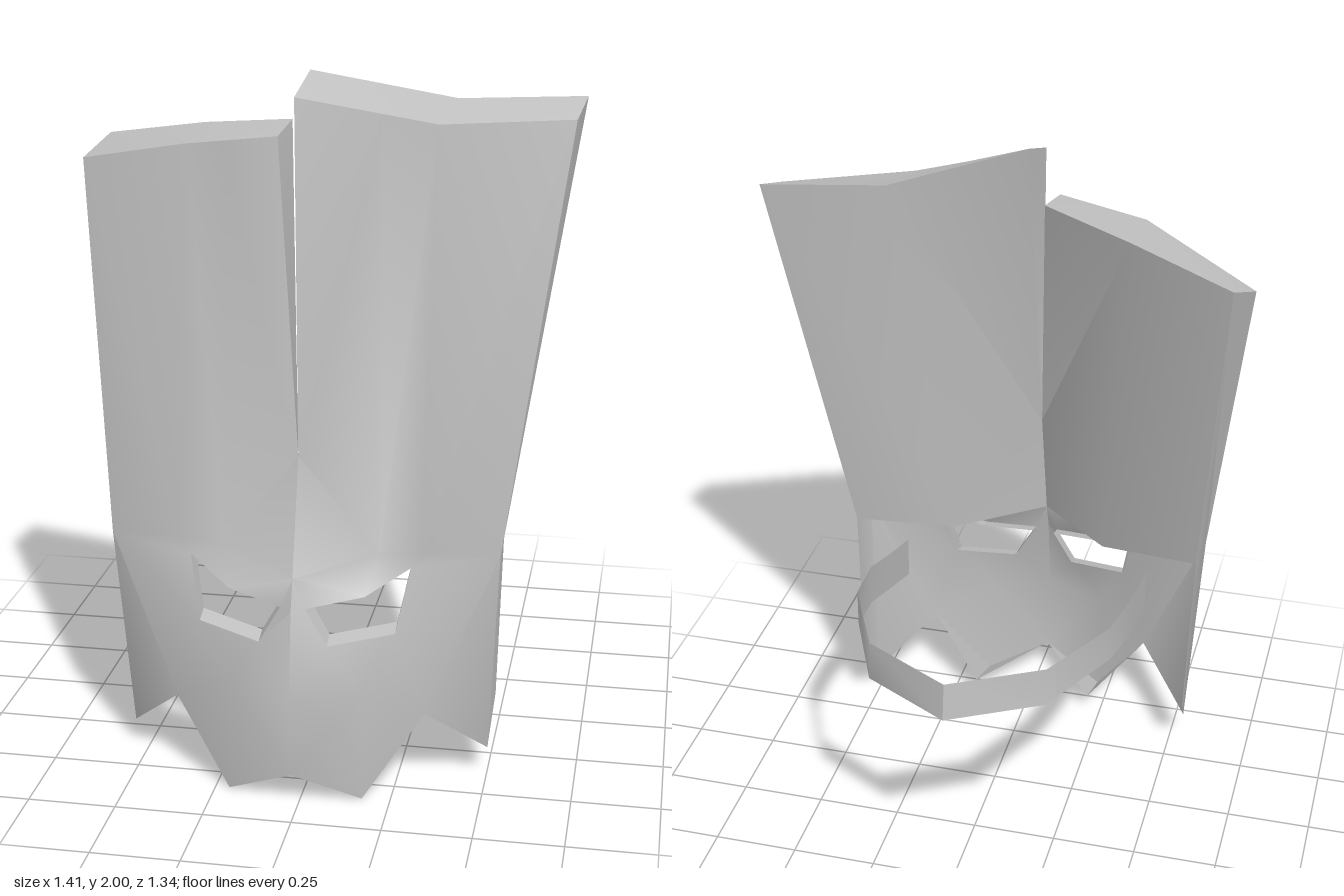
import * as THREE from 'three';
import { toCreasedNormals } from 'three/addons/utils/BufferGeometryUtils.js';

const CX = -0.02; // centre line of the face

// Points shared by both halves: offset from the centre line, height, depth
const FACE = {
  chin: [0, 0.09, 0.65], nose: [0, 0.33, 0.67], bridge: [0, 0.575, 0.632], brow: [0, 0.66, 0.602],
  tip: [0.19, 0, 0.585], tipBack: [0.19, 0.065, 0.41], notch: [0.355, 0.24, 0.51], cheek: [0.19, 0.33, 0.605],
  jawTip: [0.52, 0.08, 0.37], jawBack: [0.53, 0.2, 0.26],
  side: [0.55, 0.7, 0.44], sideBack: [0.545, 0.72, 0.28], midBack: [0.24, 0.7, 0.34],
  eyeIn: [0.035, 0.575, 0.605], eyeLowIn: [0.095, 0.47, 0.61], eyeLowOut: [0.275, 0.495, 0.55],
  eyeOut: [0.31, 0.67, 0.495], lid: [0.19, 0.6, 0.555],
  valley: [0.22, 0.7, 0.475], temple: [0.34, 0.72, 0.5],
};

// Bottom of the split between the ears, and the top corners of each ear
const SLOT = [-0.01, 1.0, 0.56];
const LEFT_TOP = {
  topIn: [-0.035, 1.95, 0.46], topMid: [0.335, 1.875, 0.375], topOut: [0.685, 1.87, 0.21],
  backIn: [-0.02, 2.0, 0.31], backMid: [0.36, 1.91, 0.16], backOut: [0.705, 1.912, 0.075],
};
const RIGHT_TOP = {
  topIn: [-0.092, 1.835, 0.4], topMid: [-0.355, 1.8, 0.36], topOut: [-0.705, 1.71, 0.15],
  backIn: [-0.08, 1.857, 0.255], backMid: [-0.35, 1.82, 0.14], backOut: [-0.66, 1.76, 0.018],
};

// Each panel is a fan: its hub, then its rim counter-clockwise on the left half
const PANELS = [
  // cheek, nose, jaw and chin
  'cheek chin tip notch eyeLowOut eyeLowIn nose chin',
  'eyeLowIn eyeIn bridge nose',
  'side eyeOut eyeLowOut notch jawTip sideBack',
  'jawTip jawBack sideBack',
  'tipBack notch tip chin',
  // forehead
  'brow bridge eyeIn lid valley',
  'eyeOut side temple valley lid',
  // ear front and outer flank
  'slot brow valley topValley topIn',
  'temple side topOut topMid valley',
  'valley topMid topValley',
  'side sideBack backOut topOut',
  // ear top
  'topValley topMid backMid backIn topIn',
  'topMid topOut backOut backMid',
  // split wall, ear back and underside
  'slot topIn backIn backMid midBack brow',
  'midBack backMid backOut sideBack temple valley brow',
  'temple sideBack side',
];
const EYE = ['eyeIn', 'eyeLowIn', 'eyeLowOut', 'eyeOut', 'lid'];

// Resolve the named points of one half
function halfPoints(s, top) {
  const p = { slot: SLOT, ...top };
  for (const [name, [u, y, z]] of Object.entries(FACE)) p[name] = [CX + s * u, y, z];
  p.topValley = top.topIn.map((v, i) => v + (top.topMid[i] - v) * 0.6);
  return p;
}

// Add a fan of triangles, turned over on the mirrored half
function addFan(out, [hub, ...rim], s) {
  for (let i = 0; i < rim.length - 1; i++) {
    const [b, c] = s > 0 ? [rim[i], rim[i + 1]] : [rim[i + 1], rim[i]];
    out.push(...hub, ...b, ...c);
  }
}

function geometryFrom(positions) {
  const g = new THREE.BufferGeometry();
  g.setAttribute('position', new THREE.Float32BufferAttribute(positions, 3));
  g.computeVertexNormals();
  return g;
}

// Short wall running back from the edge of the eye opening
function eyeRimGeometry(p, s) {
  const rim = [];
  const inner = ([x, y, z]) => [x, y + 0.015, z - 0.05];
  EYE.forEach((name, i) => {
    const a = p[name], b = p[EYE[(i + 1) % EYE.length]];
    addFan(rim, [a, b, inner(b), inner(a)], s);
  });
  return geometryFrom(rim);
}

// Band behind the head: half outline as [offset, depth, bottom, top]
function strapGeometry() {
  const half = [
    [0.385, 0.29, 0.53, 0.66], [0.39, 0.12, 0.585, 0.71], [0.395, -0.06, 0.645, 0.77],
    [0.378, -0.245, 0.69, 0.8], [0.255, -0.53, 0.71, 0.82],
  ];
  const centre = CX - 0.005;
  const path = [
    ...half.map(([u, z, b, t]) => [centre - u, z, b, t]),
    [centre, -0.67, 0.71, 0.82],
    ...half.slice().reverse().map(([u, z, b, t]) => [centre + u, z, b, t]),
  ];
  // The top edge leans slightly inwards at the back of the head
  const bottom = ([x, z, b]) => [x, b, z];
  const top = ([x, z, , t]) => [x, t, z < -0.5 ? z + 0.015 : z];
  const pos = [];
  for (let i = 0; i < path.length - 1; i++) {
    const a = path[i], b = path[i + 1];
    addFan(pos, [bottom(a), top(a), top(b), bottom(b)], 1);
  }
  return toCreasedNormals(geometryFrom(pos), 0.8);
}

export function createModel() {
  const grey = new THREE.MeshStandardMaterial({ color: 0xbfbfbf, side: THREE.DoubleSide });
  grey.name = 'grey';
  const group = new THREE.Group();
  group.name = 'mask';
  const add = (name, geometry) => {
    const mesh = new THREE.Mesh(geometry, grey);
    mesh.name = name;
    group.add(mesh);
  };

  // Face, forehead and both ears share one smooth shell
  const shell = [];
  for (const [s, top, side] of [[1, LEFT_TOP, 'left'], [-1, RIGHT_TOP, 'right']]) {
    const p = halfPoints(s, top);
    for (const panel of PANELS) addFan(shell, panel.split(' ').map((n) => p[n]), s);
    add(side + 'EyeRim', eyeRimGeometry(p, s));
  }
  add('maskShell', toCreasedNormals(geometryFrom(shell), 1.0));
  add('headStrap', strapGeometry());
  return group;
}
